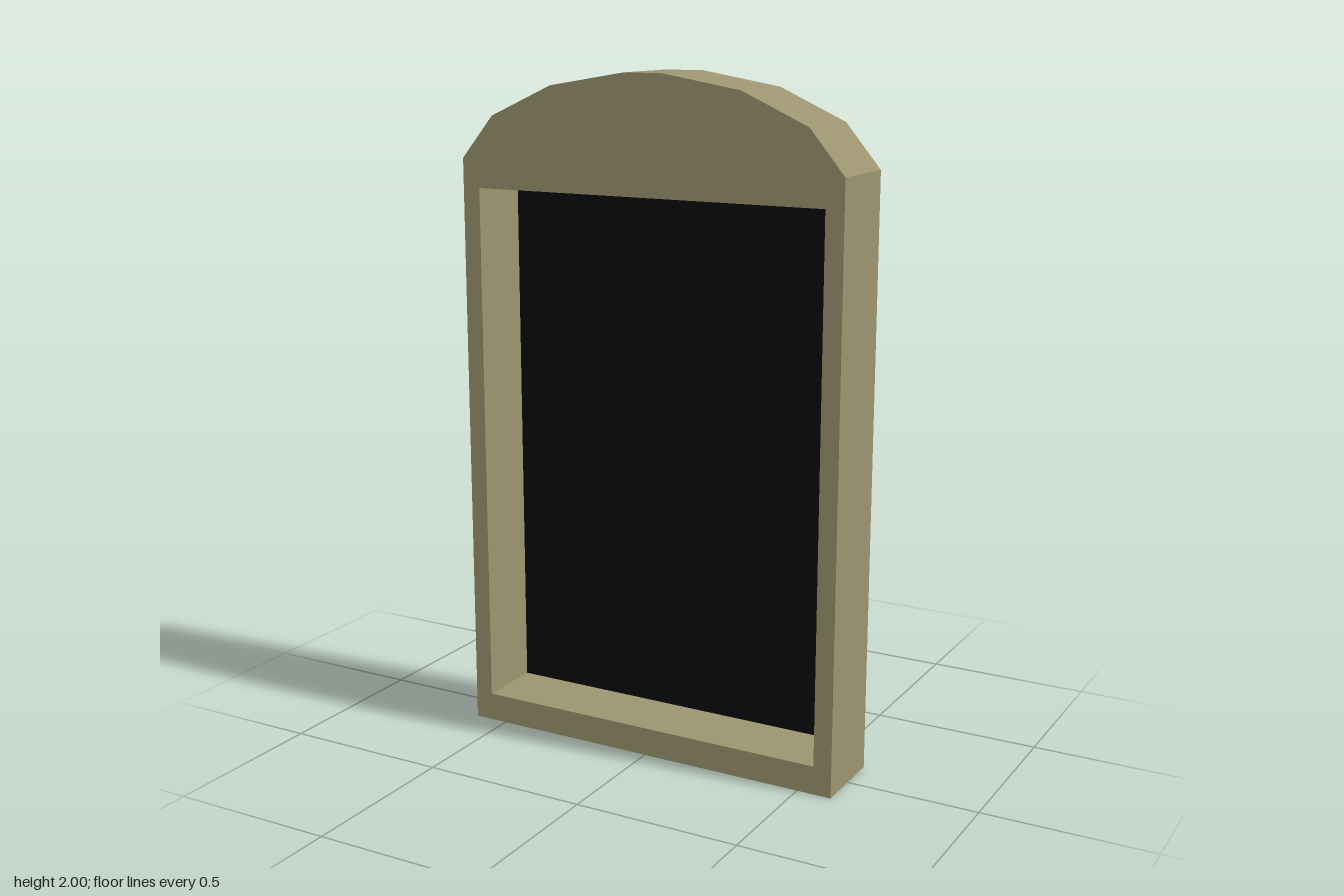
import * as THREE from 'three';

export function createModel() {
  const model = new THREE.Group();
  const stone = new THREE.MeshStandardMaterial({ color: 0x9c9470, flatShading: true });
  const black = new THREE.MeshStandardMaterial({ color: 0x0a0a0a });

  const front = 0.12, back = -0.12, recess = -0.08;
  const hole = { x: 0.55, bottom: 0.085, top: 1.66 };
  const holeWidth = hole.x * 2, holeHeight = hole.top - hole.bottom;
  const holeY = (hole.top + hole.bottom) / 2;

  // Arched outline: right half, then its mirror
  const half = [[0.605, 0], [0.605, 1.745], [0.5, 1.87], [0.3, 1.96], [0.06, 2]];
  const outline = [...half, ...half.map(([x, y]) => [-x, y]).reverse()];
  const shape = new THREE.Shape(outline.map(([x, y]) => new THREE.Vector2(x, y)));

  // Rectangular opening
  shape.holes.push(new THREE.Path([
    new THREE.Vector2(-hole.x, hole.bottom),
    new THREE.Vector2(-hole.x, hole.top),
    new THREE.Vector2(hole.x, hole.top),
    new THREE.Vector2(hole.x, hole.bottom),
  ]));

  const frame = new THREE.Mesh(
    new THREE.ExtrudeGeometry(shape, { depth: front - back, bevelEnabled: false }), stone);
  frame.name = 'archedFrame';
  frame.position.z = back;
  model.add(frame);

  // Flat panels closing the opening: dark one facing forward, plain one at the back
  const addPanel = (name, material, z, turn) => {
    const panel = new THREE.Mesh(new THREE.PlaneGeometry(holeWidth, holeHeight), material);
    panel.name = name;
    panel.position.set(0, holeY, z);
    panel.rotation.y = turn;
    model.add(panel);
  };
  addPanel('darkPanel', black, recess, 0);
  addPanel('backPanel', stone, back, Math.PI);

  return model;
}
